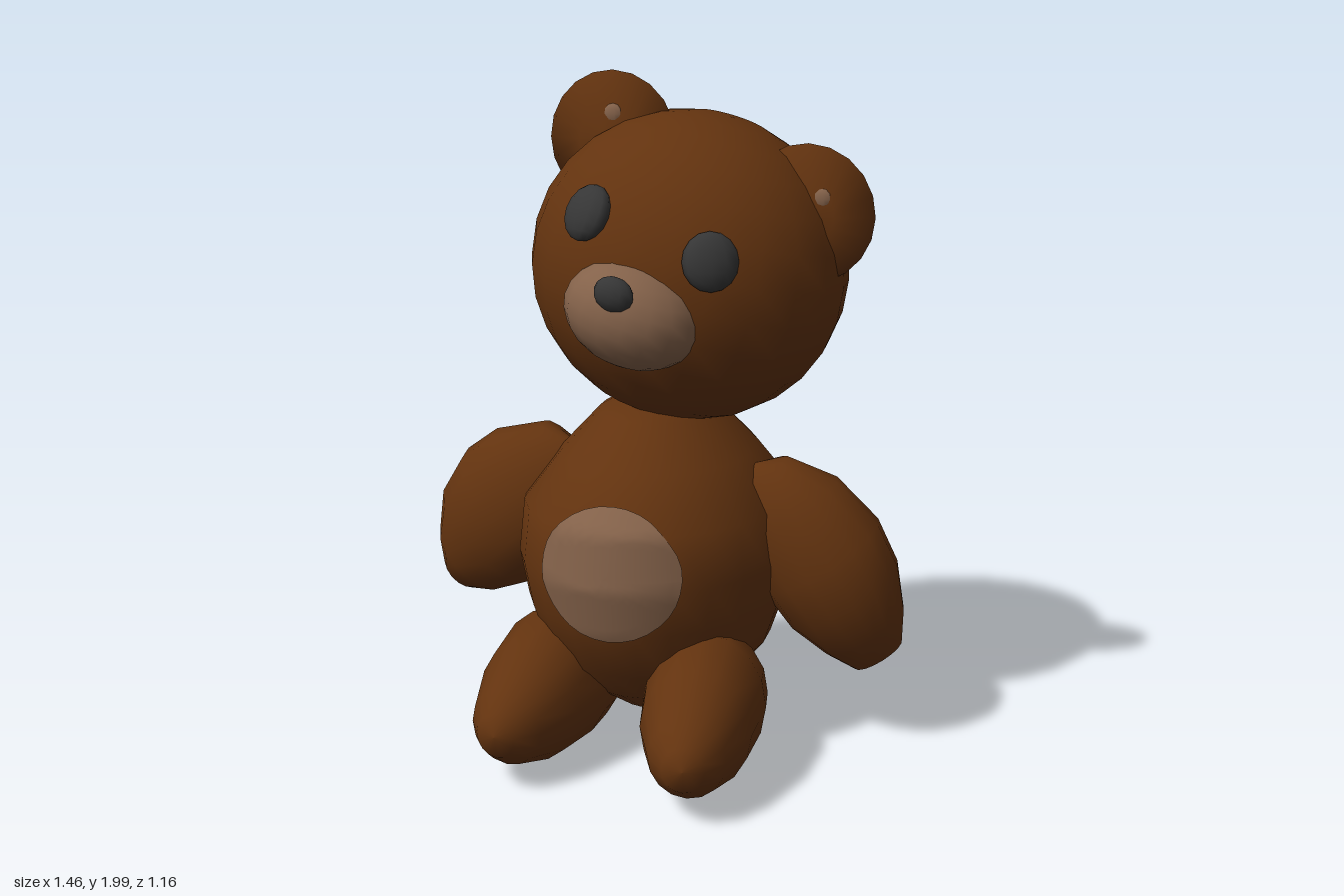
import * as THREE from 'three';

const material = (name, color) => {
  const m = new THREE.MeshStandardMaterial({ color });
  m.name = name;
  return m;
};

// Body of revolution: [relative radius, height], squashed to BODY radii
const PROFILE = [[0, 0.08], [0.31, 0.105], [0.6, 0.2], [0.82, 0.31], [0.94, 0.46],
  [1, 0.6], [0.96, 0.76], [0.7, 0.9], [0.43, 1.02], [0.3, 1.05], [0, 1.06]];
const BODY = { x: -0.01, z: -0.09, rx: 0.41, rz: 0.49 };

function bodyRadius(y) {
  const i = PROFILE.findIndex((p) => p[1] >= y);
  const [r0, y0] = PROFILE[i - 1], [r1, y1] = PROFILE[i];
  return r0 + (r1 - r0) * (y - y0) / (y1 - y0);
}

// Closed limb through stations [x, y, z, radiusA, radiusB]; B lies towards "up"
function limbGeometry(stations, up, sides = 16) {
  const centres = stations.map((s) => new THREE.Vector3(s[0], s[1], s[2]));
  const axis = centres.at(-1).clone().sub(centres[0]).normalize();
  const a = up.clone().cross(axis).normalize();
  const b = axis.clone().cross(a);
  const pos = [], idx = [];
  stations.forEach((s, i) => {
    for (let j = 0; j < sides; j++) {
      const t = j / sides * Math.PI * 2;
      const p = centres[i].clone().addScaledVector(a, Math.cos(t) * s[3]).addScaledVector(b, Math.sin(t) * s[4]);
      pos.push(p.x, p.y, p.z);
      if (i === stations.length - 1) continue;
      const k = (j + 1) % sides, r = i * sides, n = r + sides;
      idx.push(r + j, r + k, n + k, r + j, n + k, n + j);
    }
  });
  const g = new THREE.BufferGeometry();
  g.setAttribute('position', new THREE.Float32BufferAttribute(pos, 3));
  g.setIndex(idx);
  g.computeVertexNormals();
  return g;
}

export function createModel() {
  const root = new THREE.Group();
  root.name = 'teddyBear';
  const fur = material('brownFur', 0x63330f);
  const pale = material('paleFur', 0x84624a);
  const dark = material('darkPlastic', 0x363636);

  const add = (name, geometry, mat) => {
    const mesh = new THREE.Mesh(geometry, mat);
    mesh.name = name;
    root.add(mesh);
    return mesh;
  };
  const ball = (name, mat, centre, radii, roll = 0, w = 18, h = 12) => {
    const mesh = add(name, new THREE.SphereGeometry(1, w, h), mat);
    mesh.position.set(...centre);
    mesh.scale.set(...radii);
    mesh.rotation.z = roll;
    return mesh;
  };

  // Body
  const body = add('body', new THREE.LatheGeometry(PROFILE.map((p) => new THREE.Vector2(...p)), 24), fur);
  body.position.set(BODY.x, 0, BODY.z);
  body.scale.set(BODY.rx, 1, BODY.rz);

  // Belly patch, laid on the body's surface
  const patch = new THREE.RingGeometry(0.001, 1, 32, 10);
  const p = patch.attributes.position;
  for (let i = 0; i < p.count; i++) {
    const x = 0.01 + p.getX(i) * 0.21, y = 0.635 + p.getY(i) * 0.195;
    const z = BODY.z + BODY.rz * Math.sqrt(bodyRadius(y) ** 2 - ((x - BODY.x) / BODY.rx) ** 2);
    p.setXYZ(i, x, y, z + 0.006);
  }
  patch.computeVertexNormals();
  add('bellyPatch', patch, pale);

  // Arms
  const Y = new THREE.Vector3(0, 1, 0), Z = new THREE.Vector3(0, 0, 1);
  add('leftArm', limbGeometry([
    [0.27, 0.87, -0.08, 0, 0], [0.3, 0.84, -0.08, 0.11, 0.08], [0.39, 0.74, -0.1, 0.18, 0.15],
    [0.49, 0.6, -0.125, 0.205, 0.18], [0.56, 0.48, -0.145, 0.19, 0.17],
    [0.62, 0.37, -0.165, 0.14, 0.12], [0.66, 0.29, -0.18, 0.085, 0.07], [0.67, 0.28, -0.18, 0, 0]], Z), fur);
  add('rightArm', limbGeometry([
    [-0.22, 0.87, -0.03, 0, 0], [-0.27, 0.85, -0.03, 0.14, 0.08], [-0.38, 0.76, -0.03, 0.21, 0.14],
    [-0.47, 0.67, -0.035, 0.23, 0.17], [-0.56, 0.57, -0.04, 0.205, 0.16],
    [-0.63, 0.48, -0.045, 0.14, 0.12], [-0.675, 0.42, -0.05, 0.07, 0.07], [-0.68, 0.415, -0.05, 0, 0]], Z), fur);

  // Legs, sharing one profile: [z, y, half width, half height]
  const LEG = [[-0.18, 0.18, 0, 0], [-0.15, 0.185, 0.07, 0.045], [-0.06, 0.195, 0.13, 0.125],
    [0.08, 0.215, 0.17, 0.195], [0.2, 0.224, 0.18, 0.214], [0.36, 0.21, 0.16, 0.185],
    [0.5, 0.19, 0.11, 0.115], [0.565, 0.19, 0.06, 0.065], [0.575, 0.19, 0, 0]];
  for (const [name, x, slope] of [['leftLeg', 0.205, 0.2], ['rightLeg', -0.232, -0.03]]) {
    add(name, limbGeometry(LEG.map(([z, y, w, h]) => [x + slope * z, y, z, w, h]), Y), fur);
  }

  // Head, tilted to its left
  const tilt = -0.29, headCentre = new THREE.Vector3(0.07, 1.445, -0.115);
  ball('head', fur, headCentre.toArray(), [0.47, 0.45, 0.43], tilt, 22, 14);

  // Ears with a small pale centre
  for (const [side, x, y] of [['right', -0.155, 1.805], ['left', 0.435, 1.62]]) {
    const ear = add(side + 'Ear', new THREE.LatheGeometry(
      [[0, -1], [0.45, -0.75], [1, 0], [0.45, 0.75], [0, 1]].map((q) => new THREE.Vector2(...q)), 20), fur);
    ear.position.set(x, y, -0.08);
    ear.rotation.x = Math.PI / 2;
    ear.scale.set(0.197, 0.05, 0.197);
    const out = side === 'left' ? [0.05, 0.05] : [0.015, 0.075];
    ball(side + 'EarCentre', pale, [x + out[0], y + out[1], -0.048], [0.03, 0.03, 0.012], 0, 10, 6);
  }

  // Muzzle and nose
  ball('muzzle', pale, [0.045, 1.37, 0.25], [0.2, 0.15, 0.16], tilt);
  ball('nose', dark, [0.048, 1.45, 0.392], [0.058, 0.048, 0.033], tilt, 12, 8);

  // Eyes, flattened against the head
  for (const [name, x, y, z] of [['rightEye', -0.09, 1.64, 0.247], ['leftEye', 0.272, 1.53, 0.257]]) {
    const eye = ball(name, dark, [x, y, z], [0.078, 0.082, 0.04], 0, 12, 8);
    eye.lookAt(eye.position.clone().multiplyScalar(2).sub(headCentre));
  }
  return root;
}
